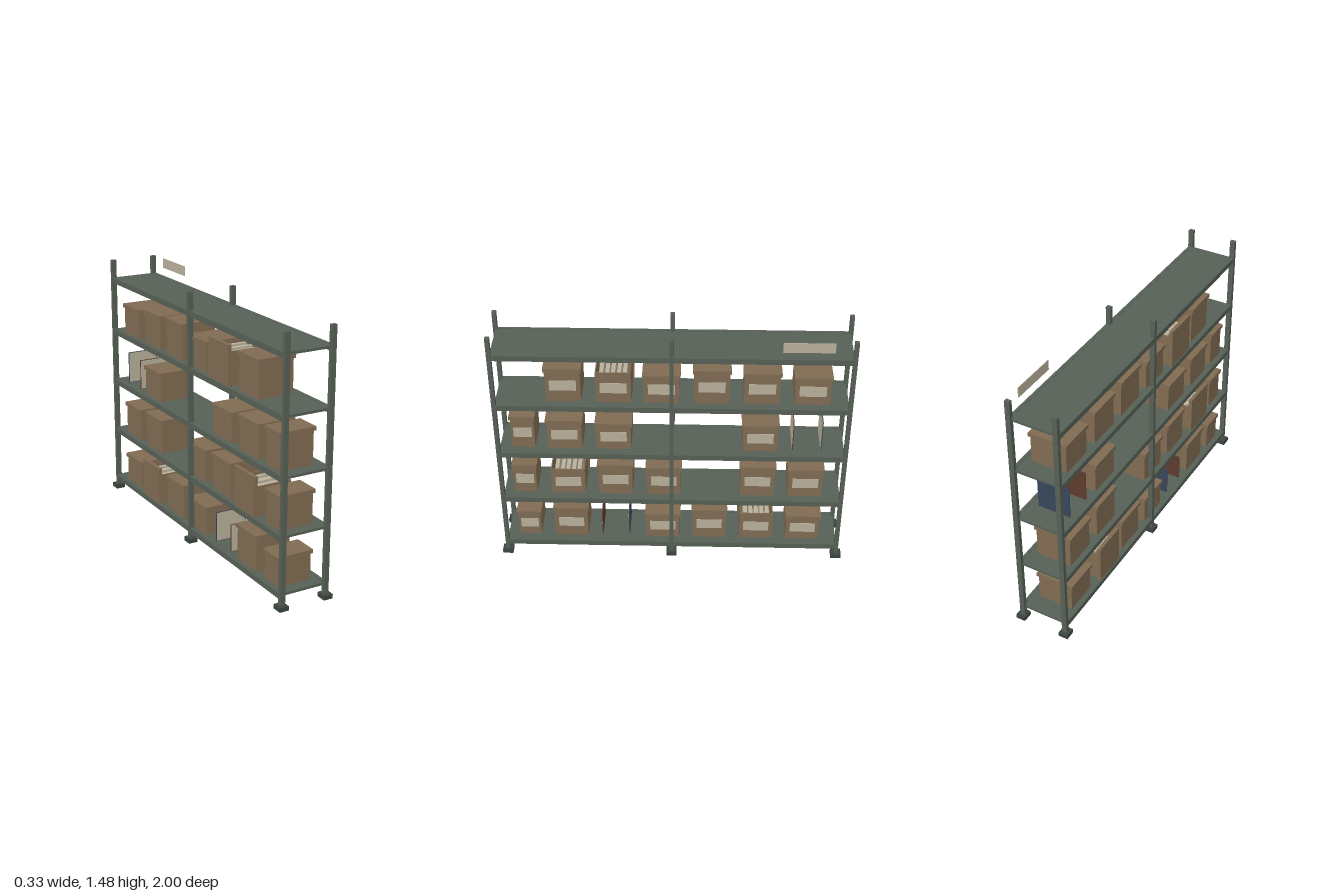
import * as THREE from 'three';

const mat = (name, color) => {
  const m = new THREE.MeshStandardMaterial({ color });
  m.name = name;
  return m;
};

export function createModel() {
  const steel = mat('green grey steel', 0x566056);
  const footMat = mat('dark foot', 0x3b443e);
  const card = mat('cardboard', 0x806b52);
  const paper = mat('cream paper', 0xb9b19b);
  const brown = mat('brown cover', 0x5e3a2c);
  const blue = mat('blue cover', 0x36465a);

  const model = new THREE.Group();
  model.name = 'storageShelf';

  // Box given by its minimum and maximum on each axis
  const block = (parent, name, material, [x0, x1], [y0, y1], [z0, z1]) => {
    const mesh = new THREE.Mesh(new THREE.BoxGeometry(x1 - x0, y1 - y0, z1 - z0), material);
    mesh.position.set((x0 + x1) / 2, (y0 + y1) / 2, (z0 + z1) / 2);
    mesh.name = name;
    parent.add(mesh);
  };
  const around = (c, w) => [c - w / 2, c + w / 2];

  // Uprights and feet
  for (const z of [-0.97, 0, 0.97]) {
    for (const s of [-1, 1]) {
      block(model, 'upright', steel, around(s * 0.135, 0.029), [0.02, 1.484], around(z, 0.023));
      block(model, 'foot', footMat, around(s * 0.1375, 0.055), [0, 0.025], around(z, 0.06));
    }
  }

  // Decks with a beam along each long side
  const levels = [0.088, 0.41, 0.732, 1.054, 1.376];
  for (const y of levels) {
    block(model, 'deck', steel, [-0.13, 0.13], [y - 0.014, y], [-0.968, 0.968]);
    for (const s of [-1, 1]) {
      block(model, 'beam', steel, around(s * 0.1385, 0.018), [y - 0.03, y + 0.002], [-0.968, 0.968]);
    }
  }

  // Archive box: closed with a lid, or open with the lid stood behind it
  function archiveBox(y, z, h, wide = true, open = false) {
    const g = new THREE.Group();
    g.name = open ? 'openArchiveBox' : 'archiveBox';
    const lidW = wide ? 0.208 : 0.145;
    const w = lidW - 0.014;
    const front = wide ? 0.092 : 0.084;
    const back = -0.116;
    const top = y + h;
    if (open) {
      const t = 0.006;
      block(g, 'boxFloor', card, [back, front], [y, y + t], around(z, w));
      block(g, 'boxFront', card, [front - t, front], [y, top], around(z, w));
      block(g, 'boxBack', card, [back, back + t], [y, top], around(z, w));
      for (const s of [-1, 1]) {
        block(g, 'boxSide', card, [back + t, front - t], [y, top], around(z + s * (w - t) / 2, t));
      }
      for (let i = 0; i < 5; i++) {
        block(g, 'paperStack', paper, [back + 0.025, front - 0.025], [y + t, top - 0.012 - (i % 2) * 0.008],
          around(z + (i - 2) * 0.032, 0.022));
      }
      block(g, 'standingLid', card, [-0.141, -0.12], [y, y + 0.229], around(z, lidW));
    } else {
      block(g, 'boxBody', card, [back, front], [y, top - 0.004], around(z, w));
      block(g, 'boxLid', card, [back - 0.01, front + 0.01], [top - 0.022, top], around(z, lidW));
    }
    block(g, 'boxLabel', paper, [front, front + 0.002], around(y + h / 2 - 0.003, 0.065), around(z, lidW * 0.71));
    model.add(g);
  }

  // Boxes per level: [z, height, wide, open]
  const rows = [
    [[0.838, 0.175, false], [0.59, 0.21], [0.053, 0.175], [-0.22, 0.21], [-0.494, 0.185, true, true], [-0.768, 0.175]],
    [[0.843, 0.195, false], [0.594, 0.17, true, true], [0.322, 0.21], [0.046, 0.195], [-0.49, 0.21], [-0.764, 0.195]],
    [[0.834, 0.211, false], [0.6, 0.196], [0.325, 0.178], [-0.494, 0.178]],
    [[0.593, 0.216], [0.318, 0.19, true, true], [0.056, 0.179], [-0.218, 0.216], [-0.491, 0.201], [-0.766, 0.179]],
  ];
  rows.forEach((row, i) => row.forEach(([z, h, wide, open]) => archiveBox(levels[i], z, h, wide, open)));

  // Standing folders: coloured cover behind, cream sheet in front
  const folders = [[0, 0.408, brown, 0.162], [0, 0.25, blue, 0.175], [2, -0.677, brown, 0.182], [2, -0.837, blue, 0.192]];
  for (const [level, z, cover, h] of folders) {
    const y = levels[level] + 0.004;
    block(model, 'folderCover', cover, [-0.11, 0.083], [y, y + h], around(z, 0.005));
    block(model, 'folderSheet', paper, [-0.107, 0.08], [y + 0.003, y + h - 0.003], [z + 0.0025, z + 0.0035]);
  }

  // Sign plate above the top shelf
  block(model, 'signPlate', paper, [0.148, 0.152], [1.426, 1.484], [-0.86, -0.585]);

  return model;
}
